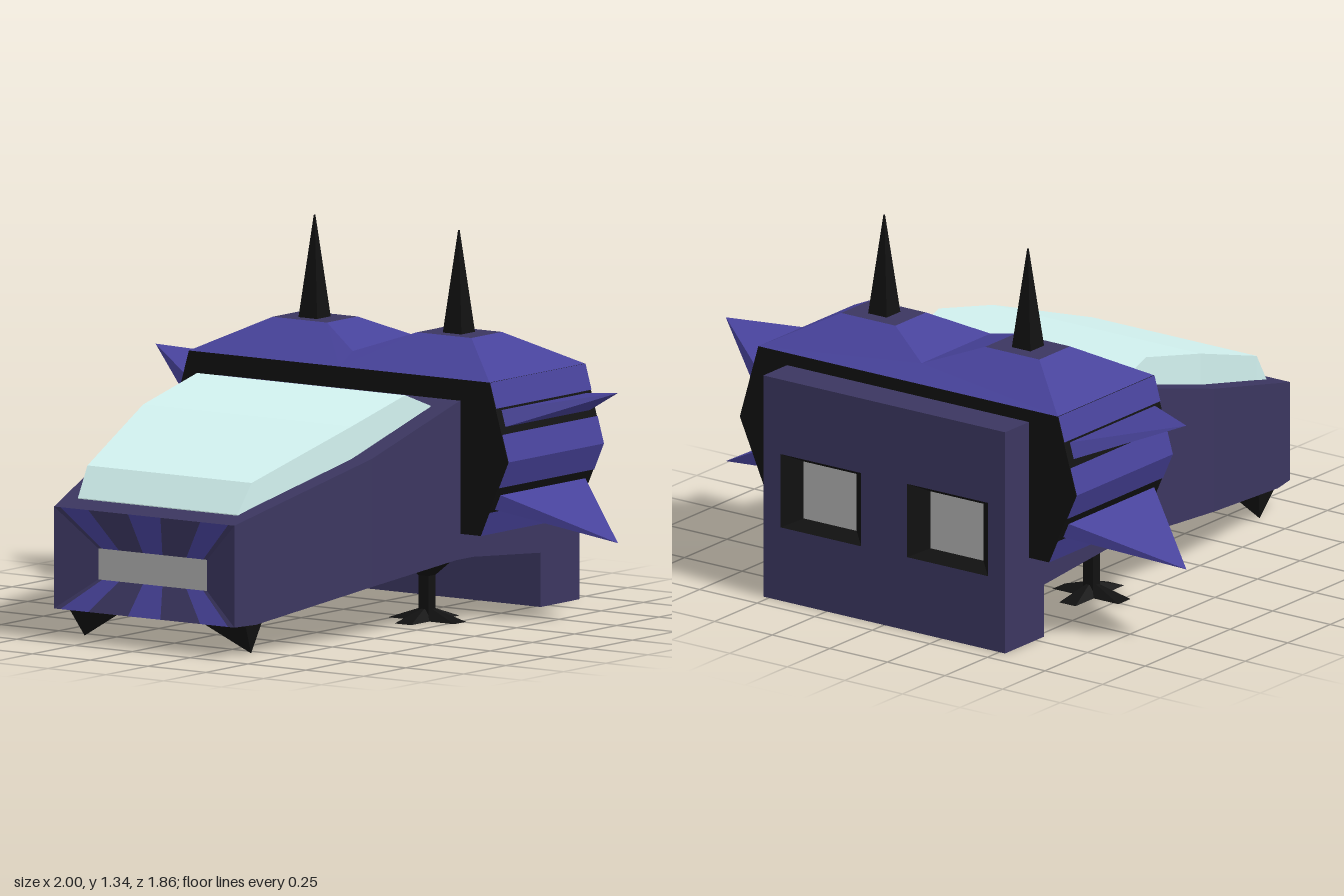
import * as THREE from 'three';

const paint = (color) => new THREE.MeshStandardMaterial({ color, flatShading: true });
const HULL = paint(0x3b3660), BLUE = paint(0x47429a), BLACK = paint(0x111111);
const GREY = paint(0xb0b0b0), GLASS = paint(0xd2f2f0), BELLY = paint(0x6a6a6a);

function add(parent, name, geometry, material, x = 0, y = 0, z = 0) {
  const mesh = new THREE.Mesh(geometry, material);
  mesh.name = name;
  mesh.position.set(x, y, z);
  parent.add(mesh);
  return mesh;
}

// Flat faces from convex polygons, corners counter-clockwise from outside
function polygons(polys) {
  const pos = [];
  for (const p of polys) {
    for (let i = 1; i < p.length - 1; i++) pos.push(...p[0], ...p[i], ...p[i + 1]);
  }
  const g = new THREE.BufferGeometry();
  g.setAttribute('position', new THREE.Float32BufferAttribute(pos, 3));
  g.computeVertexNormals();
  return g;
}

// Rectangular section at depth z
const rect = (z, x0, x1, y0, y1) => [[x0, y0, z], [x1, y0, z], [x1, y1, z], [x0, y1, z]];

// Skin through sections ordered back to front
function loft(rings, capBack = true, capFront = true) {
  const polys = [];
  for (let r = 0; r < rings.length - 1; r++) {
    const a = rings[r], b = rings[r + 1], n = a.length;
    for (let i = 0; i < n; i++) {
      const j = (i + 1) % n;
      polys.push([a[i], a[j], b[j], b[i]]);
    }
  }
  if (capBack) polys.push([...rings[0]].reverse());
  if (capFront) polys.push(rings[rings.length - 1]);
  return polygons(polys);
}

const lerp = (a, b, t) => a.map((v, i) => v + (b[i] - v) * t);
const hullTop = (z) => 0.47 + 0.274 * (0.93 - z);

function buildHull(g) {
  // Tapered body: z, half width, bottom, top
  const body = [
    [-0.72, 0.525, 0.19, 0.81], [-0.3, 0.525, 0.225, 0.8], [-0.2, 0.525, 0.225, 0.78],
    [0.3, 0.525, 0.19, hullTop(0.3)], [0.83, 0.411, 0.11, hullTop(0.83)], [0.93, 0.39, 0.11, 0.47],
  ];
  add(g, 'hull', loft(body.map(([z, w, b, t]) => rect(z, -w, w, b, t)), true, false), HULL);

  // Sunken nose with painted stripes around a grille
  const outer = rect(0.93, -0.39, 0.39, 0.11, 0.47);
  const inner = rect(0.88, -0.235, 0.235, 0.22, 0.33);
  const plain = [], striped = [];
  const breaks = [0, 0.035, 0.19, 0.41, 0.59, 0.81, 0.965, 1];
  for (let i = 0; i < 4; i++) {
    const j = (i + 1) % 4;
    const cuts = i % 2 === 0 ? breaks : [0, 1];
    for (let k = 0; k < cuts.length - 1; k++) {
      const [s, t] = [cuts[k], cuts[k + 1]];
      (k % 2 ? striped : plain).push([
        lerp(outer[i], outer[j], s), lerp(outer[i], outer[j], t),
        lerp(inner[i], inner[j], t), lerp(inner[i], inner[j], s),
      ]);
    }
  }
  add(g, 'noseRecess', polygons(plain), HULL);
  add(g, 'noseStripes', polygons(striped), BLUE);
  add(g, 'noseGrille', polygons([inner]), GREY);

  // Tall rear block with two engine openings
  const back = new THREE.Shape([[-0.525, 0], [0.525, 0], [0.525, 0.815], [-0.525, 0.815]]
    .map((p) => new THREE.Vector2(...p)));
  for (const x of [-0.275, 0.275]) {
    back.holes.push(new THREE.Path(rect(0, x - 0.175, x + 0.175, 0.27, 0.54)
      .map(([a, b]) => new THREE.Vector2(a, b))));
    const vent = rect(-0.875, x - 0.115, x + 0.115, 0.3, 0.51);
    const mouth = rect(-0.93, x - 0.175, x + 0.175, 0.27, 0.54);
    add(g, 'engineFrame', loft([vent, mouth], false, false), BLACK);
    add(g, 'engineVent', polygons([[...vent].reverse()]), GREY);
  }
  add(g, 'rearBlock', new THREE.ExtrudeGeometry(back, { depth: 0.23, bevelEnabled: false }), HULL, 0, 0, -0.93);
}

function buildCanopy(g) {
  const sections = [[-0.15, 0.45, 0.77], [0, 0.45, 0.825], [0.32, 0.45, 0.752], [0.78, 0.355, 0.6], [0.85, 0.345, 0.495]];
  add(g, 'canopy', loft(sections.map(([z, w, t]) => rect(z, -w, w, hullTop(z) - 0.01, t))), GLASS);
}

const F = -0.225, B = -0.79, MID = -0.507;

// Outer edge of the armoured band at a given height
const bandX = (y) => (y > 0.585 ? 0.73 - 0.08 * (y - 0.585) / 0.275 : 0.73 - 0.12 * (0.585 - y) / 0.27);

function buildBand(g) {
  const outline = [[-0.61, 0.315], [0.61, 0.315], [0.73, 0.585], [0.65, 0.86], [-0.65, 0.86], [-0.73, 0.585]];
  const shape = new THREE.Shape(outline.map((p) => new THREE.Vector2(...p)));
  add(g, 'bandCore', new THREE.ExtrudeGeometry(shape, { depth: F - B, bevelEnabled: false }), BLACK, 0, 0, B);
}

// Everything on the +x side; mirrored for the other
function buildSide() {
  const g = new THREE.Group();

  // Side armour plates with dark slots between
  const plates = [[0.77, 0.86], [0.585, 0.68], [0.49, 0.585], [0.315, 0.4]].map(([lo, hi]) => {
    const a = bandX(lo) + 0.003, b = bandX(hi) + 0.003;
    return [[a, lo, F], [a, lo, B], [b, hi, B], [b, hi, F]];
  });
  add(g, 'sidePlates', polygons(plates), BLUE);

  // Broad flat spikes growing from the slots
  for (const [lo, hi, tipY] of [[0.7, 0.76, 0.82], [0.41, 0.465, 0.29]]) {
    const a = bandX(lo) - 0.01, b = bandX(hi) - 0.01, tip = [1, tipY, MID];
    const base = [[a, lo, -0.25], [a, lo, -0.765], [b, hi, -0.765], [b, hi, -0.25]];
    add(g, 'sideSpike', polygons(base.map((p, i) => [p, base[(i + 1) % 4], tip])), BLUE);
  }

  // Half of the double-peaked roof
  const y = 0.86, top = 0.975;
  const Vf = [0, 0.905, -0.305], Vb = [0, 0.905, -0.71];
  const Pf = [0.43, top, -0.42], Pb = [0.43, top, -0.6], Qf = [0.195, top, -0.42], Qb = [0.195, top, -0.6];
  const Bf = [0.65, y, F], Bb = [0.65, y, B];
  add(g, 'roof', polygons([
    [[0, y, F], Bf, Pf, Qf, Vf], [Vb, Qb, Pb, Bb, [0, y, B]], [Bf, Bb, Pb, Pf], [Vf, Qf, Qb, Vb],
  ]), BLUE);
  add(g, 'roofPad', polygons([[Qf, Pf, Pb, Qb]]), HULL);
  const horn = new THREE.CylinderGeometry(0.003, 0.057, 0.36, 4).rotateY(Math.PI / 4);
  add(g, 'horn', horn, BLACK, 0.312, 1.155, MID);

  // Landing leg with a cross-shaped foot
  const leg = new THREE.Group();
  leg.name = 'landingLeg';
  leg.position.set(0.38, 0, -0.225);
  const mount = new THREE.CylinderGeometry(0.12, 0.03, 0.075, 4).rotateY(Math.PI / 4);
  add(leg, 'legMount', mount, BLACK, 0, 0.195, 0);
  add(leg, 'legStrut', new THREE.BoxGeometry(0.042, 0.16, 0.042), BLACK, 0, 0.1, 0);
  for (const turn of [0, Math.PI / 2]) {
    const arm = new THREE.CylinderGeometry(0.04, 0.202, 0.04, 4).rotateY(Math.PI / 4).scale(1, 1, 0.25).rotateY(turn);
    add(leg, 'footArm', arm, BLACK, 0, 0.02, 0);
  }
  g.add(leg);

  // Pointed front skid
  const skid = [[0.17, 0.125, 0.75], [0.17, 0.115, 0.86], [0.385, 0.115, 0.86], [0.385, 0.125, 0.75]];
  const point = [0.36, 0, 0.79];
  add(g, 'frontSkid', polygons(skid.map((p, i) => [skid[(i + 1) % 4], p, point])), BLACK);

  // Light strip under the hull: z, outer edge, height
  const run = [[-0.7, 0.46, 0.186], [-0.3, 0.46, 0.221], [-0.2, 0.46, 0.221], [0.3, 0.46, 0.186], [0.8, 0.36, 0.11]];
  const strip = run.slice(1).map(([z, x, h], i) => {
    const [z0, x0, h0] = run[i];
    return [[x0 - 0.12, h0, z0], [x0, h0, z0], [x, h, z], [x - 0.12, h, z]];
  });
  add(g, 'bellyStrip', polygons(strip), BELLY);
  return g;
}

export function createModel() {
  const model = new THREE.Group();
  model.name = 'spikedShuttle';
  buildHull(model);
  buildCanopy(model);
  buildBand(model);
  const left = buildSide();
  left.name = 'leftSide';
  const right = left.clone();
  right.name = 'rightSide';
  right.scale.x = -1;
  model.add(left, right);
  return model;
}
